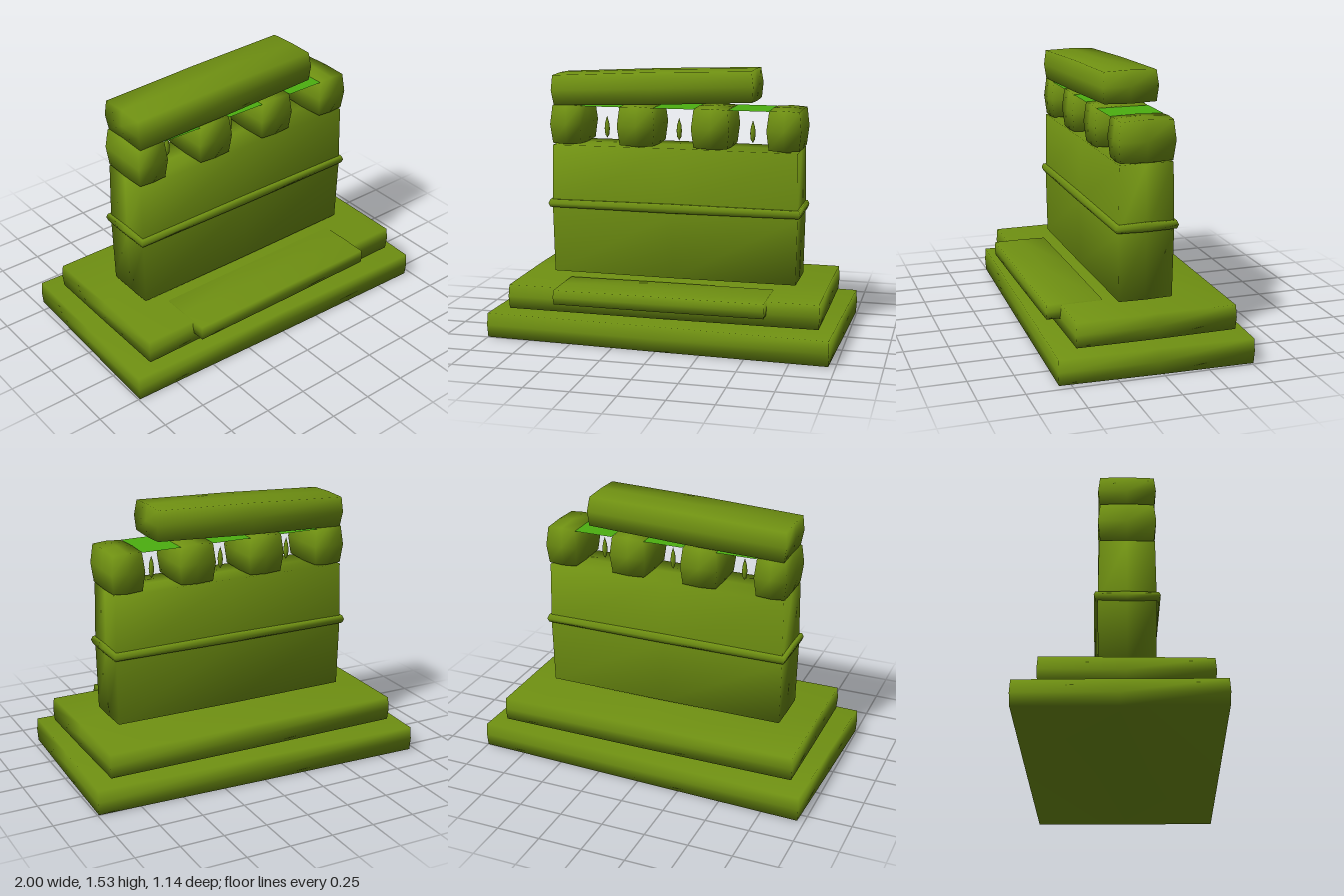
import * as THREE from 'three';
import { mergeVertices } from 'three/addons/utils/BufferGeometryUtils.js';

const stone = new THREE.MeshStandardMaterial({ color: 0x6f9012 });
const slab = new THREE.MeshStandardMaterial({ color: 0x4cae10, side: THREE.DoubleSide });

// Smooth-shaded hewn block between two corners; its edges draw in by inset.
function block(name, [x0, x1], [y0, y1], [z0, z1], inset = 0.005) {
  const half = [(x1 - x0) / 2, (y1 - y0) / 2, (z1 - z0) / 2];
  let geo = new THREE.BoxGeometry(2, 2, 2, 2, 2, 2);
  geo.deleteAttribute('normal');
  geo.deleteAttribute('uv');
  geo = mergeVertices(geo);
  const p = geo.attributes.position;
  for (let i = 0; i < p.count; i++) {
    const u = p.getX(i), v = p.getY(i), w = p.getZ(i);
    p.setXYZ(i,
      u * (half[0] - inset * v * v),
      v * (half[1] - inset * 0.5 * (u * u + w * w)),
      w * (half[2] - inset * v * v));
  }
  geo.computeVertexNormals();
  const mesh = new THREE.Mesh(geo, stone);
  mesh.position.set((x0 + x1) / 2, (y0 + y1) / 2, (z0 + z1) / 2);
  mesh.name = name;
  return mesh;
}

export function createModel() {
  const model = new THREE.Group();
  model.name = 'stoneWall';

  // Stepped plinth, the lowest slab slightly turned
  const base = block('base', [-0.983, 0.983], [0, 0.148], [-0.54, 0.54], 0.004);
  base.rotation.y = -0.031;
  model.add(base);
  model.add(block('platform', [-0.885, 0.897], [0.163, 0.31], [-0.445, 0.455]));
  model.add(block('frontStep', [-0.59, 0.608], [0.227, 0.316], [0.215, 0.535], 0.004));

  // Wall and the moulding around it
  model.add(block('wall', [-0.71, 0.725], [0.323, 1.082], [-0.145, 0.168], 0.006));
  model.add(block('moulding', [-0.73, 0.743], [0.705, 0.765], [-0.165, 0.188], 0.008));

  // Row of bulging stones on top of the wall
  const stones = [[-0.717, -0.53], [-0.317, -0.098], [0.115, 0.333], [0.543, 0.737]];
  stones.forEach(([a, b], i) => {
    model.add(block('topStone' + (i + 1), [a, b], [1.075, 1.316], [-0.147, 0.17], 0.012));
  });

  // Thin slab and slender leaf-shaped bar in each gap
  for (let i = 0; i < 3; i++) {
    const a = stones[i][1], b = stones[i + 1][0];
    const plate = new THREE.Mesh(new THREE.PlaneGeometry(b - a + 0.02, 0.3), slab);
    plate.rotation.x = -Math.PI / 2;
    plate.position.set((a + b) / 2, 1.304, 0.01);
    plate.name = 'gapSlab' + (i + 1);
    model.add(plate);

    const profile = [[0, -0.065], [0.012, -0.045], [0.016, -0.01], [0.012, 0.025], [0, 0.065]];
    const bar = new THREE.Mesh(
      new THREE.LatheGeometry(profile.map(([r, y]) => new THREE.Vector2(r, y)), 8), stone);
    bar.position.set((a + b) / 2, 1.17, 0.01);
    bar.name = 'gapBar' + (i + 1);
    model.add(bar);
  }

  // Tilted capping beam, shorter than the wall
  const beam = block('cappingBeam', [-0.71, 0.468], [1.318, 1.51], [-0.147, 0.17], 0.01);
  beam.rotation.z = 0.04;
  model.add(beam);

  return model;
}
